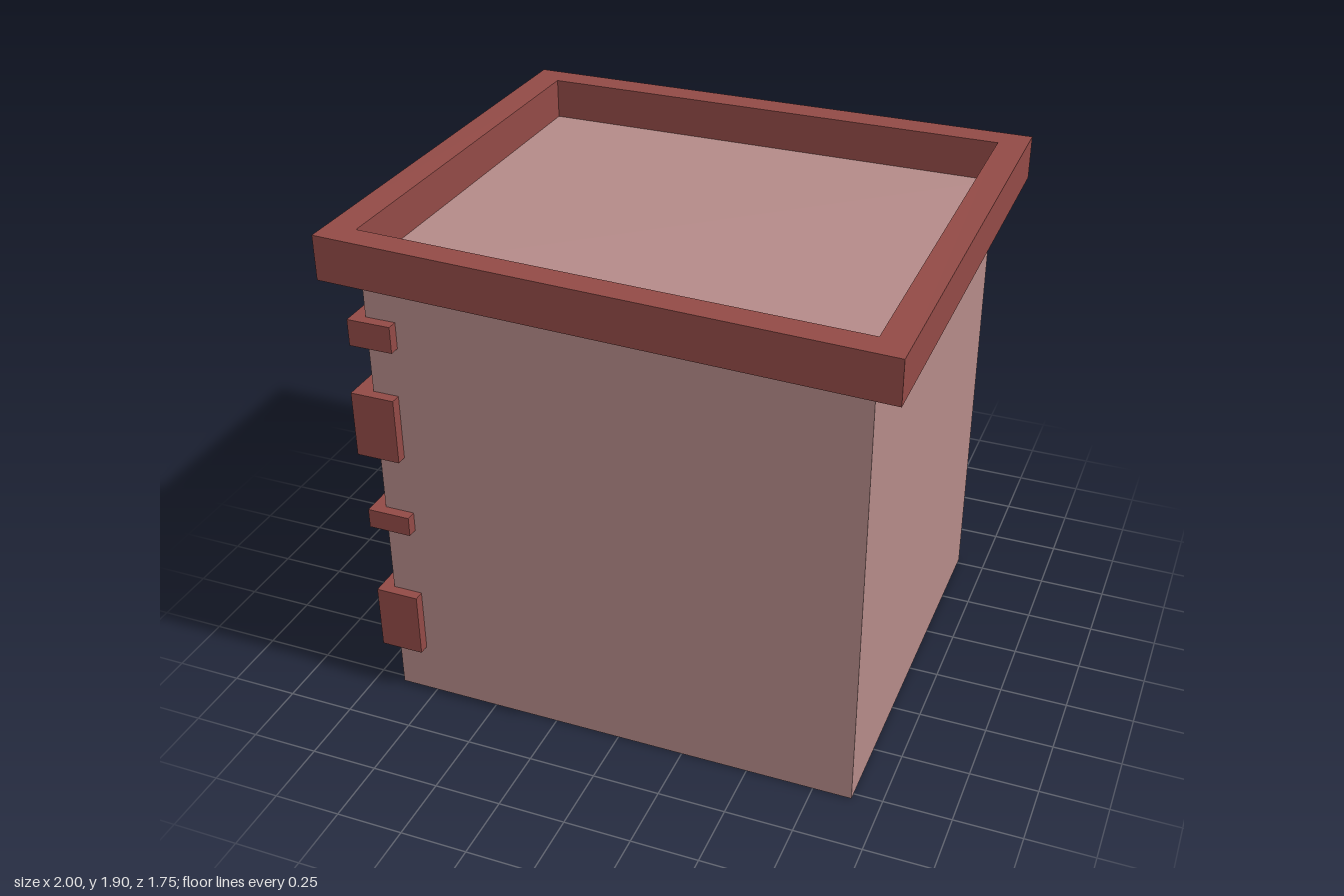
import * as THREE from 'three';

const paint = (color) => new THREE.MeshStandardMaterial({ color, flatShading: true });
const wallMat = paint(0xb48a88);
const brickMat = paint(0x924a46);
const frameMat = paint(0xdebea5);
const glassMat = paint(0x6f9fae);

// Box given by its minimum and maximum corners
function block(name, min, max, mat) {
  const geo = new THREE.BoxGeometry(max[0] - min[0], max[1] - min[1], max[2] - min[2]);
  const mesh = new THREE.Mesh(geo, mat);
  mesh.position.set((min[0] + max[0]) / 2, (min[1] + max[1]) / 2, (min[2] + max[2]) / 2);
  mesh.name = name;
  return mesh;
}

// Slight twist of the roof line: front left corner up, front right corner down
const twist = (x, z) => ((z + 0.875) / 1.75) * THREE.MathUtils.lerp(0.02, -0.04, (x + 1) / 2);

function warp(geo, minY) {
  const p = geo.attributes.position;
  for (let i = 0; i < p.count; i++) {
    if (p.getY(i) > minY) p.setY(i, p.getY(i) + twist(p.getX(i), p.getZ(i)));
  }
  geo.computeVertexNormals();
  return geo;
}

function rectangle(Type, hx, hz) {
  return new Type([[-hx, -hz], [hx, -hz], [hx, hz], [-hx, hz]].map(([x, y]) => new THREE.Vector2(x, y)));
}

// Window on the right-hand wall, centred on z
function makeWindow(z) {
  const g = new THREE.Group();
  g.name = 'window';
  const w = 0.195, y0 = 0.6, y1 = 1.15, mid = (y0 + y1) / 2, t = 0.05;
  const bar = (name, za, zb, ya, yb, out, mat = frameMat) =>
    g.add(block(name, [-out, ya, z + za], [-0.88, yb, z + zb], mat));
  bar('glass', -w + 0.02, w - 0.02, y0 + 0.02, y1 - 0.02, 0.9, glassMat);
  for (const s of [-1, 1]) {
    const a = s * w, b = s * (w - t);
    bar('frameSide', Math.min(a, b), Math.max(a, b), y0, y1, 0.94);
  }
  bar('frameBottom', -w + t, w - t, y0, y0 + t, 0.94);
  bar('frameTop', -w + t, w - t, y1 - t, y1, 0.94);
  bar('transom', -w + t, w - t, mid - 0.025, mid + 0.025, 0.943);
  bar('mullion', -0.018, 0.018, y0 + t, y1 - t, 0.925);
  return g;
}

export function createModel() {
  const model = new THREE.Group();
  model.name = 'building';

  // Walls and roof
  const bodyGeo = new THREE.BoxGeometry(1.786, 1.727, 1.552).translate(0, 0.8635, 0);
  const body = new THREE.Mesh(warp(bodyGeo, 1), wallMat);
  body.name = 'walls';
  model.add(body);

  // Parapet ring around the roof
  const ring = rectangle(THREE.Shape, 1, 0.875);
  ring.holes.push(rectangle(THREE.Path, 0.893, 0.776));
  const ringGeo = new THREE.ExtrudeGeometry(ring, { depth: 0.163, bevelEnabled: false });
  ringGeo.rotateX(-Math.PI / 2).translate(0, 1.715, 0);
  const parapet = new THREE.Mesh(warp(ringGeo, 1), brickMat);
  parapet.name = 'parapet';
  model.add(parapet);

  // Corner stones: bottom, top, inner x, outer x at the front corner
  const stones = [
    [0.195, 0.445, -0.78, -0.943],
    [0.725, 0.8, -0.78, -0.943],
    [1.03, 1.28, -0.795, -0.96],
    [1.47, 1.57, -0.78, -0.943],
  ];
  for (const [y0, y1, inner, outer] of stones) {
    model.add(block('frontCornerStone', [outer, y0, 0.64], [inner, y1, 0.815], brickMat));
    model.add(block('backCornerStone', [-0.96, y0, -0.815], [-0.79, y1, -0.645], brickMat));
  }

  for (const z of [-0.325, 0.325]) model.add(makeWindow(z));
  return model;
}
